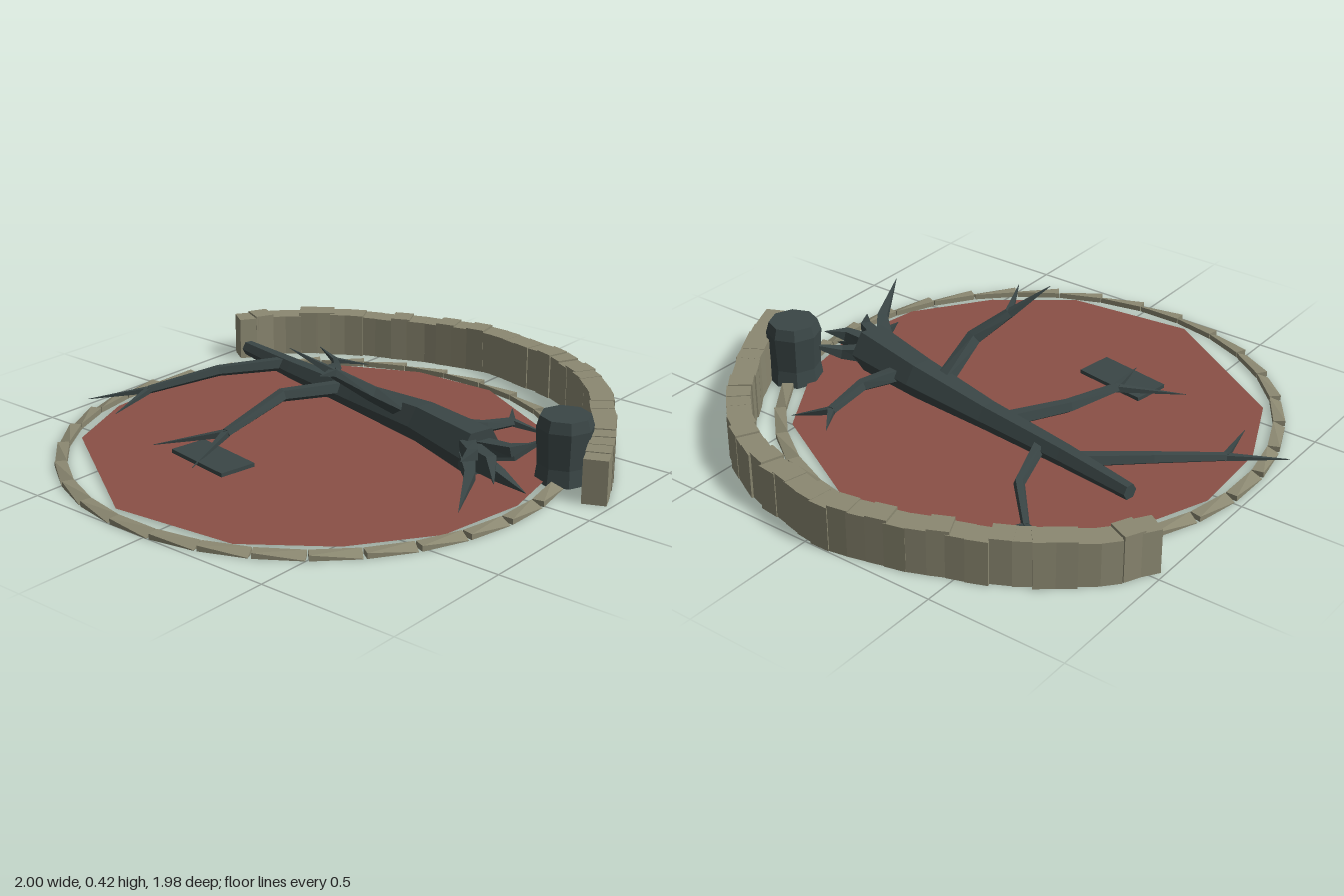
import * as THREE from 'three';

const mat = (color) => new THREE.MeshStandardMaterial({ color, flatShading: true, side: THREE.DoubleSide });
const V = (p) => new THREE.Vector3(...p);

function addMesh(parent, name, geometry, material) {
  const mesh = new THREE.Mesh(geometry, material);
  mesh.name = name;
  parent.add(mesh);
  return mesh;
}

// Faceted limb: rings of n sides, mitred at each point [x, y, z, radius]
function limb(points, n) {
  const pts = points.map((p) => V(p.slice(0, 3)));
  const pos = [], idx = [];
  pts.forEach((p, i) => {
    const a = pts[Math.max(i - 1, 0)], b = pts[Math.min(i + 1, pts.length - 1)];
    const dir = new THREE.Vector3();
    if (i > 0) dir.add(p.clone().sub(a).normalize());
    if (i < pts.length - 1) dir.add(b.clone().sub(p).normalize());
    dir.normalize();
    const side = new THREE.Vector3(0, 1, 0).cross(dir).normalize();
    const up = dir.clone().cross(side);
    for (let k = 0; k < n; k++) {
      const t = ((k + 0.5) / n) * Math.PI * 2, r = points[i][3];
      const q = p.clone().addScaledVector(side, r * Math.sin(t)).addScaledVector(up, r * Math.cos(t));
      pos.push(q.x, q.y, q.z);
    }
  });
  const last = (pts.length - 1) * n;
  for (let i = 0; i < last; i += n) {
    for (let k = 0; k < n; k++) {
      const a = i + k, b = i + (k + 1) % n;
      idx.push(a, a + n, b, b, a + n, b + n);
    }
  }
  for (let k = 1; k < n - 1; k++) idx.push(0, k, k + 1, last, last + k + 1, last + k);
  const g = new THREE.BufferGeometry();
  g.setAttribute('position', new THREE.Float32BufferAttribute(pos, 3));
  g.setIndex(idx);
  g.computeVertexNormals();
  return g;
}

export function createModel() {
  const model = new THREE.Group();
  model.name = 'fallenTreeClearing';
  const earth = mat(0x8a5046), stone = mat(0x8b8871), bark = mat(0x3a4646);
  let seed = 7;
  const rand = () => (seed = (seed * 16807) % 2147483647) / 2147483647;

  // Irregular patch of red earth
  const outline = [[-0.92, -0.21], [-0.58, -0.75], [-0.28, -0.88], [0.05, -0.9], [0.36, -0.78], [0.58, -0.56],
    [0.73, -0.25], [0.74, 0.08], [0.51, 0.51], [0.17, 0.72], [-0.07, 0.77], [-0.4, 0.72], [-0.67, 0.53], [-0.87, 0.26]];
  const patch = new THREE.Shape(outline.map(([x, z]) => new THREE.Vector2(x, -z)));
  addMesh(model, 'earthPatch', new THREE.ShapeGeometry(patch).rotateX(-Math.PI / 2), earth).position.y = 0.01;

  // Ring of flat edging stones, each with one top corner sloping down
  const edging = new THREE.Group();
  edging.name = 'edgingRing';
  model.add(edging);
  const edgeGeo = new THREE.BoxGeometry(0.166, 0.02, 0.042);
  const ep = edgeGeo.attributes.position;
  for (let i = 0; i < ep.count; i++) {
    if (ep.getX(i) > 0 && ep.getY(i) > 0 && ep.getZ(i) > 0) ep.setY(i, -0.008);
  }
  edgeGeo.computeVertexNormals();
  const count = 32;
  for (let i = 0; i < count; i++) {
    const a = (i / count) * Math.PI * 2;
    const s = addMesh(edging, 'edgingStone', edgeGeo, stone);
    s.position.set(-0.1 + Math.sin(a) * 0.88, 0.01, -0.07 + Math.cos(a) * 0.88);
    s.rotation.y = a;
  }

  // Curved wall of upright blocks
  const wall = new THREE.Group();
  wall.name = 'blockWall';
  model.add(wall);
  const path = new THREE.CatmullRomCurve3([[0.14, 0.93], [0.34, 0.83], [0.62, 0.64], [0.74, 0.53], [0.87, 0.32],
    [0.92, 0.13], [0.95, -0.05], [0.92, -0.24], [0.87, -0.41], [0.74, -0.68], [0.59, -0.86], [0.47, -0.93]]
    .map(([x, z]) => V([x, 0, z])));
  const blocks = 38;
  for (let i = 0; i < blocks; i++) {
    const u = i / (blocks - 1), p = path.getPointAt(u), t = path.getTangentAt(u);
    const h = 0.158 + rand() * 0.014;
    const b = addMesh(wall, 'wallBlock', new THREE.BoxGeometry(0.084, h, 0.074), stone);
    b.position.set(p.x + (rand() - 0.5) * 0.012, h / 2, p.z);
    b.rotation.y = Math.atan2(t.x, t.z) + (rand() - 0.5) * 0.2;
  }

  // Fallen trunk
  const tree = new THREE.Group();
  tree.name = 'fallenTree';
  model.add(tree);
  addMesh(tree, 'trunk', limb([[0.04, 0.1, 0.54, 0.09], [0.12, 0.11, 0.24, 0.074], [0.175, 0.105, -0.1, 0.052],
    [0.235, 0.11, -0.46, 0.04], [0.295, 0.115, -0.755, 0.028]], 6), bark);

  // Branches: a bent arm, then two pointed twigs from its end
  const branches = [
    { arm: [[0.13, 0.13, 0.14, 0.034], [-0.04, 0.24, 0.13, 0.03], [-0.14, 0.32, 0.05, 0.02]],
      tips: [[-0.25, 0.415, -0.05], [-0.28, 0.36, 0.11]] },
    { arm: [[0.18, 0.12, -0.18, 0.03], [-0.02, 0.12, -0.295, 0.026], [-0.31, 0.06, -0.3, 0.018]],
      tips: [[-0.48, 0.02, -0.49], [-0.54, 0.02, -0.24]] },
    { arm: [[0.25, 0.12, -0.51, 0.028], [0.06, 0.1, -0.69, 0.022], [-0.16, 0.05, -0.84, 0.016]],
      tips: [[-0.32, 0.02, -1.0], [-0.38, 0.03, -0.79]] },
    { arm: [[0.23, 0.11, -0.355, 0.024], [0.42, 0.08, -0.41, 0.02], [0.56, 0.04, -0.54, 0.014]],
      tips: [[0.6, 0.06, -0.65], [0.65, 0.02, -0.44]] },
    { arm: [[0.13, 0.11, 0.32, 0.034], [0.26, 0.09, 0.4, 0.024], [0.42, 0.06, 0.405, 0.018]],
      tips: [[0.53, 0.06, 0.33], [0.48, 0.02, 0.54]] },
  ];
  for (const { arm, tips } of branches) {
    const branch = new THREE.Group();
    branch.name = 'branch';
    tree.add(branch);
    addMesh(branch, 'arm', limb(arm, 5), bark);
    const end = arm[2];
    for (const tip of tips) addMesh(branch, 'twig', limb([[...end.slice(0, 3), end[3] * 0.95], [...tip, 0.001]], 4), bark);
  }

  // Torn roots fanning out of the thick end: elbow and tip
  const roots = [
    [[-0.09, 0.15, 0.6], [-0.28, 0.21, 0.69]],
    [[-0.1, 0.08, 0.6], [-0.27, 0.03, 0.68]],
    [[-0.04, 0.12, 0.64], [-0.15, 0.1, 0.73]],
    [[0.0, 0.06, 0.65], [-0.01, 0.03, 0.76]],
    [[0.06, 0.13, 0.65], [0.12, 0.15, 0.7]],
    [[0.12, 0.09, 0.62], [0.22, 0.14, 0.7]],
  ];
  for (const [elbow, tip] of roots) {
    const start = [0.04 + (elbow[0] - 0.04) * 0.35, 0.1 + (elbow[1] - 0.1) * 0.5, 0.52];
    addMesh(tree, 'root', limb([[...start, 0.04], [...elbow, 0.026], [...tip, 0.001]], 4), bark);
  }

  // Stump with a bevelled rim
  const profile = [[0, 0], [0.1, 0], [0.092, 0.06], [0.1, 0.19], [0.088, 0.23], [0, 0.23]]
    .map(([r, y]) => new THREE.Vector2(r, y));
  addMesh(model, 'stump', new THREE.LatheGeometry(profile, 8), bark).position.set(0.235, 0, 0.745);

  // Blank plaque lying on the ground
  const plaque = addMesh(model, 'plaque', new THREE.BoxGeometry(0.14, 0.014, 0.285), bark);
  plaque.position.set(-0.435, 0.022, -0.245);
  plaque.rotation.y = -0.16;
  return model;
}
